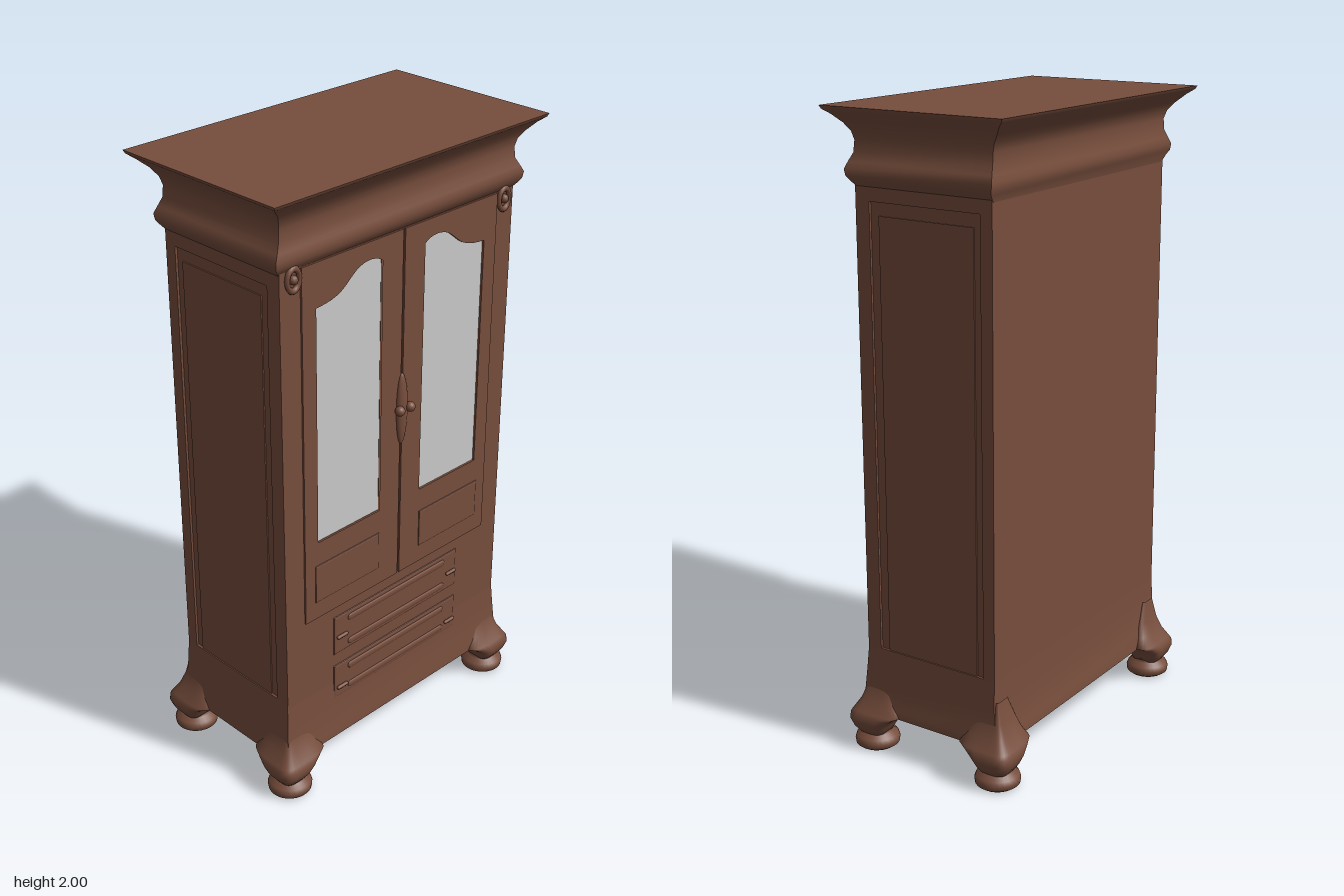
import * as THREE from 'three';

const wood = new THREE.MeshStandardMaterial({ color: 0x764d3c });
wood.name = 'brown wood';
const glass = new THREE.MeshStandardMaterial({ color: 0xcacaca });
glass.name = 'pale glass';

function add(group, name, geometry, x = 0, y = 0, z = 0, material = wood) {
  const mesh = new THREE.Mesh(geometry, material);
  mesh.name = name;
  mesh.position.set(x, y, z);
  group.add(mesh);
  return mesh;
}

function build(positions, index) {
  const g = new THREE.BufferGeometry();
  g.setAttribute('position', new THREE.Float32BufferAttribute(positions, 3));
  g.setIndex(index);
  g.computeVertexNormals();
  return g;
}

// Stacked rectangles [y, half width, front z, back z]: sharp corners, smooth profile, closed ends
function rectLoft(rows) {
  const pos = [], idx = [];
  const corners = ([y, h, f, b]) => [[-h, y, f], [h, y, f], [h, y, b], [-h, y, b]];
  for (let side = 0; side < 4; side++) {
    const start = pos.length / 3;
    rows.forEach((row, r) => {
      const c = corners(row);
      pos.push(...c[side], ...c[(side + 1) % 4]);
      if (r) {
        const a = start + (r - 1) * 2;
        idx.push(a, a + 1, a + 3, a, a + 3, a + 2);
      }
    });
  }
  const bottom = pos.length / 3;
  pos.push(...corners(rows[0]).flat(), ...corners(rows[rows.length - 1]).flat());
  idx.push(bottom, bottom + 2, bottom + 1, bottom, bottom + 3, bottom + 2);
  idx.push(bottom + 4, bottom + 5, bottom + 6, bottom + 4, bottom + 6, bottom + 7);
  return build(pos, idx);
}

// Swelling corner bracket: rounded squares reaching further inward than outward
function bracketGeometry(sx, sz) {
  const rows = [[0.05, 0, 0], [0.05, 0.045, 0.045], [0.07, 0.06, 0.055], [0.095, 0.07, 0.07], [0.115, 0.068, 0.095],
    [0.127, 0.06, 0.12], [0.16, 0.038, 0.1], [0.205, 0.02, 0.08], [0.27, 0.006, 0.05]];
  const n = 32, pos = [], idx = [];
  const bend = v => Math.sign(v) * Math.pow(Math.abs(v), 0.55);
  rows.forEach(([y, outer, inner], r) => {
    for (let i = 0; i < n; i++) {
      const t = i / n * Math.PI * 2;
      const px = bend(Math.cos(t)), pz = -bend(Math.sin(t));
      pos.push(px * (px * sx > 0 ? outer : inner), y, pz * (pz * sz > 0 ? outer : inner));
      if (r) {
        const a = (r - 1) * n + i, b = (r - 1) * n + (i + 1) % n;
        idx.push(a, b, b + n, a, b + n, a + n);
      }
    }
  });
  return build(pos, idx);
}

function rect(x0, y0, x1, y1, Type = THREE.Shape) {
  const s = new Type();
  s.moveTo(x0, y0).lineTo(x1, y0).lineTo(x1, y1).lineTo(x0, y1).closePath();
  return s;
}

// Window outline with a swan-neck top; s is the side it sits on
function windowOutline(s, Type) {
  const p = new Type();
  p.moveTo(s * 0.088, 0.88);
  p.lineTo(s * 0.347, 0.88);
  p.lineTo(s * 0.347, 1.64);
  p.bezierCurveTo(s * 0.25, 1.645, s * 0.24, 1.67, s * 0.2, 1.7);
  p.bezierCurveTo(s * 0.17, 1.724, s * 0.12, 1.73, s * 0.088, 1.705);
  p.closePath();
  return p;
}

const slab = (shape, depth, bevel = 0) => new THREE.ExtrudeGeometry(shape, {
  depth, bevelEnabled: bevel > 0, bevelThickness: bevel, bevelSize: bevel * 2, bevelOffset: -bevel * 2,
  bevelSegments: 3, curveSegments: 12,
});

export function createModel() {
  const model = new THREE.Group();
  model.name = 'cabinet';

  // Carcass and flared skirt
  add(model, 'carcass', rectLoft([[0.14, 0.468, 0.23, -0.23], [1.82, 0.468, 0.23, -0.23]]));
  add(model, 'skirt', rectLoft([[0.125, 0.497, 0.264, -0.25], [0.15, 0.495, 0.262, -0.248],
    [0.19, 0.487, 0.254, -0.238], [0.26, 0.482, 0.248, -0.232], [0.34, 0.476, 0.243, -0.23]]));

  // Moulded cornice
  add(model, 'cornice', rectLoft([[1.765, 0.47, 0.235, -0.23], [1.785, 0.488, 0.25, -0.235],
    [1.8, 0.499, 0.259, -0.243], [1.82, 0.502, 0.262, -0.246], [1.84, 0.491, 0.256, -0.24],
    [1.865, 0.477, 0.246, -0.233], [1.9, 0.473, 0.244, -0.232], [1.925, 0.479, 0.25, -0.24],
    [1.95, 0.495, 0.266, -0.26], [1.975, 0.522, 0.287, -0.285], [1.99, 0.541, 0.306, -0.305],
    [2, 0.545, 0.31, -0.31]]));

  // Front frame pierced by both windows
  const front = rect(-0.476, 0.25, 0.476, 1.79);
  for (const s of [-1, 1]) front.holes.push(windowOutline(s, THREE.Path));
  add(model, 'frontFrame', slab(front, 0.016), 0, 0, 0.228);

  for (const s of [-1, 1]) {
    const side = s > 0 ? 'left' : 'right';

    // Side frame around a sunken panel
    const frame = rect(-0.244, 0.25, 0.23, 1.79);
    frame.holes.push(rect(-0.195, 0.3, 0.19, 1.73, THREE.Path));
    const frameMesh = add(model, side + 'SideFrame', slab(frame, 0.01), s > 0 ? 0.466 : -0.476);
    frameMesh.rotation.y = Math.PI / 2;
    add(model, side + 'SidePanel', new THREE.BoxGeometry(0.006, 1.36, 0.33), s * 0.469, 1.01, 0);

    // Door with glass and a low raised panel
    const door = rect(s * 0.004, 0.61, s * 0.4, 1.775);
    door.holes.push(windowOutline(s, THREE.Path));
    add(model, side + 'Door', slab(door, 0.006), 0, 0, 0.244);
    add(model, side + 'Glass', new THREE.ShapeGeometry(windowOutline(s, THREE.Shape), 12), 0, 0, 0.243, glass);
    add(model, side + 'DoorPanel', slab(rect(s * 0.09, 0.67, s * 0.36, 0.8), 0.001, 0.003), 0, 0, 0.25);
    add(model, side + 'Knob', new THREE.SphereGeometry(0.016, 16, 12), s * 0.022, 1.205, 0.266);

    // Carved rosette at the top corner
    add(model, side + 'RosetteRing', new THREE.TorusGeometry(0.025, 0.008, 8, 20), s * 0.43, 1.75, 0.25)
      .scale.set(0.9, 1.3, 1);
    add(model, side + 'RosetteBud', new THREE.SphereGeometry(0.014, 12, 8), s * 0.43, 1.75, 0.25);

    // Corner feet, front and back
    const bun = new THREE.LatheGeometry([[0, 0], [0.058, 0], [0.069, 0.008], [0.071, 0.022], [0.066, 0.036],
      [0.05, 0.047], [0.044, 0.056], [0.05, 0.068]].map(p => new THREE.Vector2(...p)), 28);
    for (const f of [-1, 1]) {
      const end = f > 0 ? 'Front' : 'Back';
      add(model, side + end + 'Bracket', bracketGeometry(s, f), s * 0.465, 0, f * 0.232);
      add(model, side + end + 'BunFoot', bun, s * 0.461, 0, f * 0.23);
    }
  }

  // Carved plate behind the door knobs
  add(model, 'knobPlate', new THREE.SphereGeometry(1, 20, 14), 0, 1.2, 0.25).scale.set(0.022, 0.12, 0.016);

  // Two drawers with raised mouldings and small pulls
  [[0.43, 0.57, 0.495], [0.26, 0.385, 0.3]].forEach(([y0, y1, pullY], i) => {
    add(model, 'drawer' + (i + 1), slab(rect(-0.28, y0, 0.28, y1), 0.001, 0.004), 0, 0, 0.244);
    for (const y of [y0 + 0.025, y1 - 0.025]) {
      const bar = add(model, 'drawerMoulding', new THREE.CapsuleGeometry(0.012, 0.42, 4, 12), 0, y, 0.249);
      bar.rotation.z = Math.PI / 2;
      bar.scale.z = 0.4;
    }
    for (const s of [-1, 1]) {
      const pull = add(model, 'drawerPull', new THREE.CapsuleGeometry(0.006, 0.035, 4, 8), s * 0.25, pullY, 0.254);
      pull.rotation.z = Math.PI / 2;
    }
  });

  return model;
}
